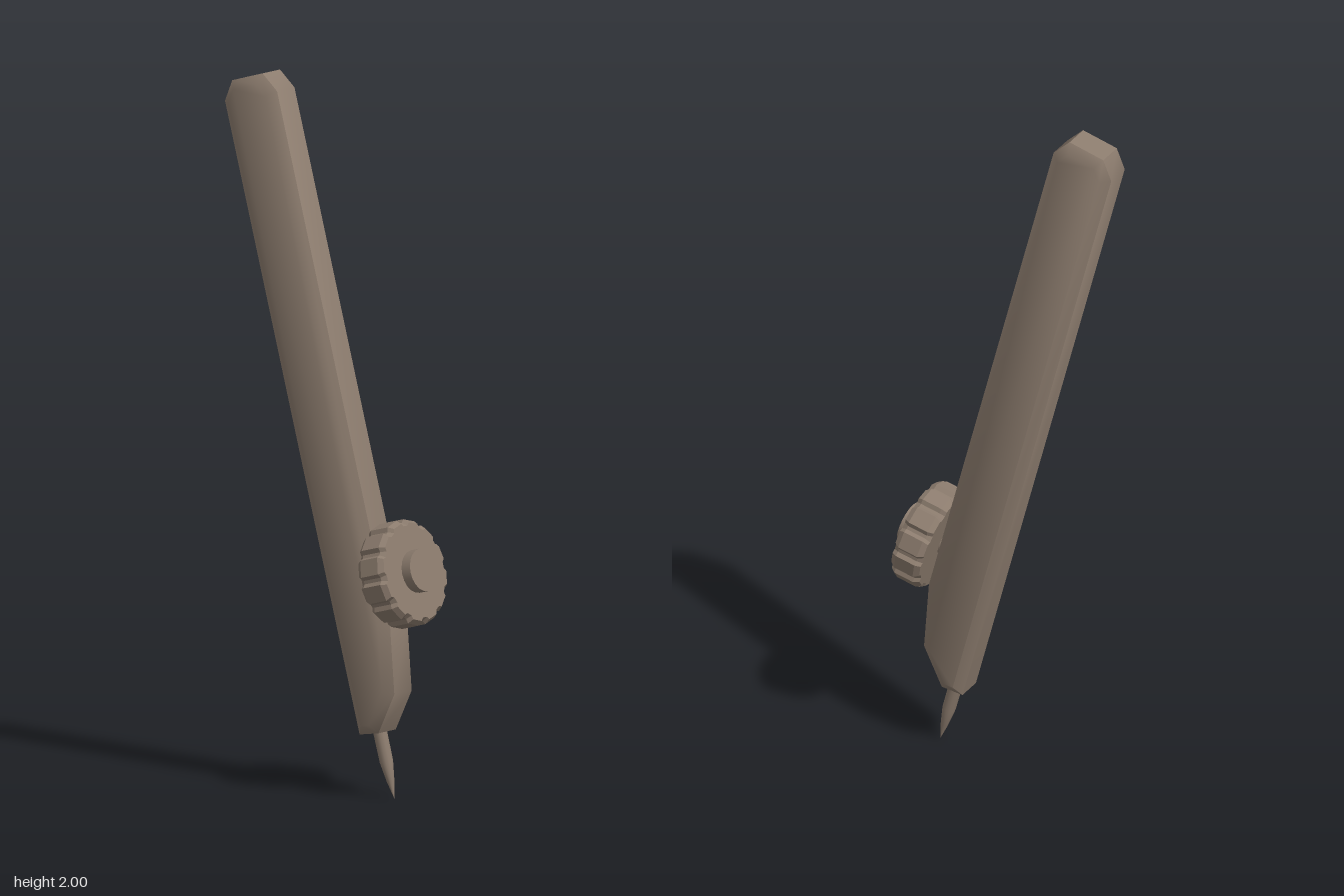
import * as THREE from 'three';
import { toCreasedNormals } from 'three/addons/utils/BufferGeometryUtils.js';

// Extrude an outline, centred on z, with a 1-step chamfer kept inside the outline
function chamferedPlate(points, halfDepth, chamfer, chamferDepth, crease) {
  const shape = new THREE.Shape(points.map(([x, y]) => new THREE.Vector2(x, y)));
  const depth = 2 * (halfDepth - chamferDepth);
  const geo = new THREE.ExtrudeGeometry(shape, {
    depth, bevelEnabled: true, bevelSegments: 1,
    bevelSize: chamfer, bevelThickness: chamferDepth, bevelOffset: -chamfer,
  });
  geo.translate(0, 0, -depth / 2);
  return toCreasedNormals(geo, crease);
}

export function createModel() {
  const model = new THREE.Group();
  model.name = 'compassLeg';
  const metal = new THREE.MeshStandardMaterial({ color: 0x8c7c6e });
  metal.name = 'warm grey brown';

  const tilt = 0.263; // lean of the leg from vertical
  const add = (name, geo, parent = model) => {
    const mesh = new THREE.Mesh(geo, metal);
    mesh.name = name;
    parent.add(mesh);
    return mesh;
  };

  // Leaning leg with a cut-off foot
  add('leg', chamferedPlate([
    [0.13, 0.18], [0.195, 0.19], [0.25, 0.305], [0.235, 0.5],
    [-0.155, 1.955], [-0.205, 2.0], [-0.31, 1.97], [-0.335, 1.91],
  ], 0.062, 0.026, 0.022, 0.85));

  // Needle: straight shank, then a long point
  const needleProfile = [[0, 0], [0.011, 0.05], [0.019, 0.105], [0.02, 0.25]]
    .map(([r, y]) => new THREE.Vector2(r, y));
  const needle = add('needle', new THREE.LatheGeometry(needleProfile, 12));
  needle.position.set(0.22, 0.004, 0);
  needle.rotation.z = tilt;

  // Thumbscrew, its axis (local z) square to the leg
  const screw = new THREE.Group();
  screw.name = 'thumbscrew';
  screw.position.set(0.249, 0.637, 0);
  screw.rotation.set(0, Math.PI / 2, tilt, 'ZYX');
  model.add(screw);

  // Knurled wheel with twelve notches round the rim
  const rim = [];
  const notches = 12, outer = 0.149, inner = 0.139;
  for (let i = 0; i < notches; i++) {
    const a = (i / notches) * Math.PI * 2;
    for (const [da, r] of [[-0.1, outer], [-0.035, inner], [0.035, inner], [0.1, outer]]) {
      rim.push([Math.cos(a + da) * r, Math.sin(a + da) * r]);
    }
  }
  add('knurledWheel', chamferedPlate(rim, 0.045, 0.01, 0.015, 0.35), screw);

  // Hub on the outside and shaft into the leg
  const hub = add('hub', toCreasedNormals(new THREE.CylinderGeometry(0.06, 0.06, 0.05, 20), 0.6), screw);
  hub.rotation.x = Math.PI / 2;
  hub.position.z = 0.05;
  const shaft = add('shaft', toCreasedNormals(new THREE.CylinderGeometry(0.04, 0.04, 0.08, 16), 0.6), screw);
  shaft.rotation.x = Math.PI / 2;
  shaft.position.z = -0.06;

  return model;
}
